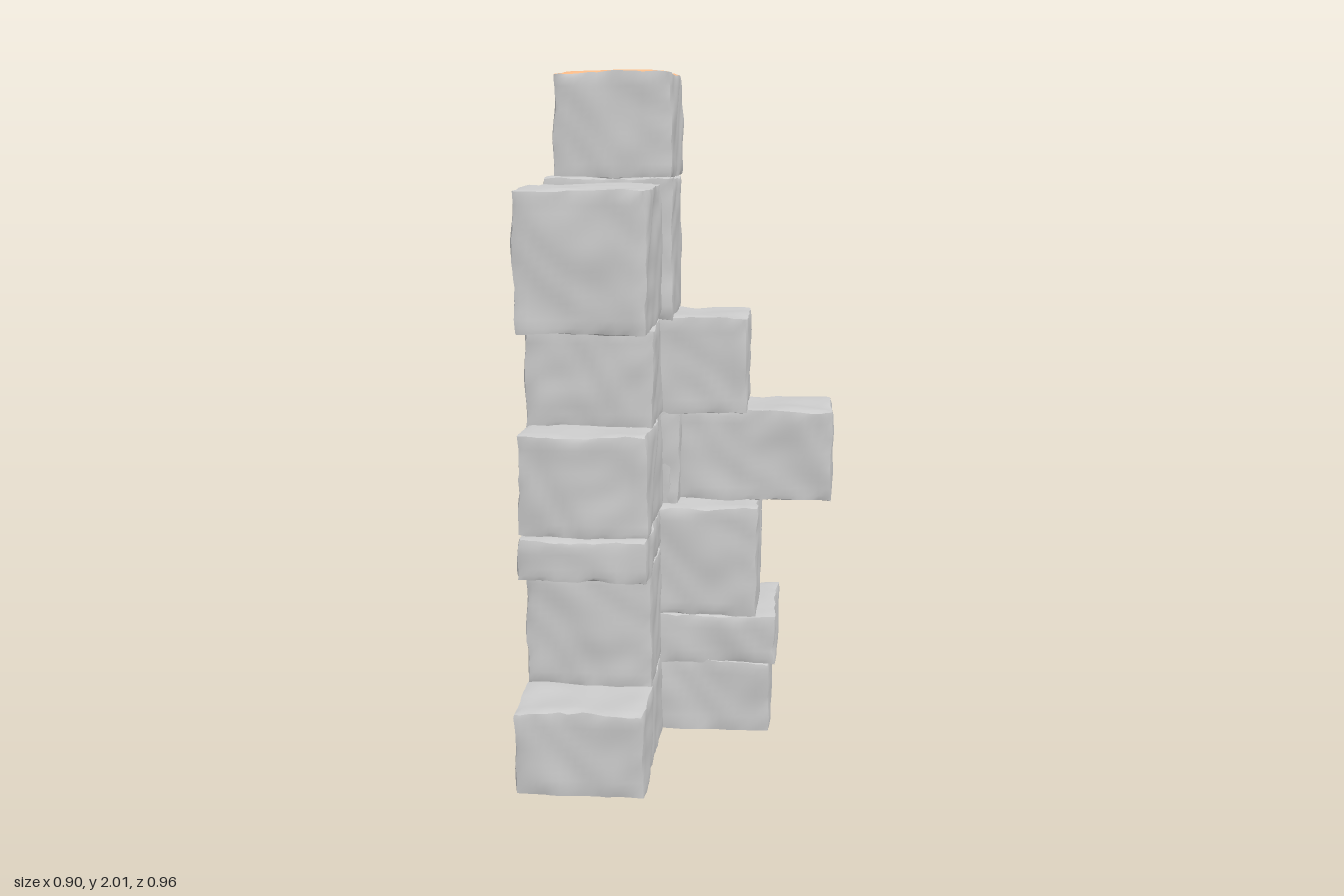
import * as THREE from 'three';

const stone = new THREE.MeshStandardMaterial({ color: 0xcccccc });
const topCut = new THREE.MeshStandardMaterial({ color: 0xfabb88 });
const bottomCut = new THREE.MeshStandardMaterial({ color: 0xfca688 });

// Smooth deterministic noise, about -1..1
function noise(x, y, z, s) {
  const a = x + 0.04 * Math.sin(z * 19 + y * 11 + s);
  const b = y + 0.04 * Math.sin(x * 17 - z * 13 + s * 2.3);
  const c = z + 0.04 * Math.sin(y * 15 + x * 21 + s * 1.7);
  return (
    Math.sin(a * 14 + s * 2.1) * Math.cos(b * 12 + c * 16 + s * 1.3) * 0.6 +
    Math.sin(b * 33 + s * 3.7) * Math.sin(a * 29 - c * 31 + s) * 0.4
  );
}

// Rough hewn block: dented faces, wavy and slightly chipped edges.
// cuts maps a box side (2 top, 3 bottom) to its own material.
function block(name, seed, [x0, x1], [y0, y1], [z0, z1], cuts = {}) {
  const size = [x1 - x0, y1 - y0, z1 - z0];
  const segs = size.map((d) => Math.max(4, Math.round(d / 0.022)));
  const geo = new THREE.BoxGeometry(...size, ...segs);
  const pos = geo.attributes.position;
  for (let i = 0; i < pos.count; i++) {
    const p = [pos.getX(i), pos.getY(i), pos.getZ(i)];
    const onFace = p.map((v, k) => Math.abs(v) > size[k] / 2 - 1e-5);
    const onEdge = onFace.filter(Boolean).length > 1;
    const q = p.map((v, k) => {
      if (!onFace[k]) return v;
      const dent = 0.007 * (noise(...p, seed + k * 5 + (v > 0 ? 2 : 0)) - 0.25);
      const chip = onEdge ? 0.002 + 0.006 * Math.abs(noise(p[2] * 2, p[0] * 2, p[1] * 2, seed + k)) : 0;
      return v + Math.sign(v) * (dent - chip);
    });
    // Keep the footing flat on the ground
    if (y0 === 0 && onFace[1] && p[1] < 0) q[1] = p[1];
    pos.setXYZ(i, ...q);
  }
  geo.computeVertexNormals();
  const mesh = new THREE.Mesh(geo, Array.from({ length: 6 }, (_, k) => cuts[k] ?? stone));
  mesh.name = name;
  mesh.position.set((x0 + x1) / 2, (y0 + y1) / 2, (z0 + z1) / 2);
  return mesh;
}

export function createModel() {
  const model = new THREE.Group();
  model.name = 'ruinedWallCorner';
  const footing = { 3: bottomCut };

  // Front wing courses: [bottom, top, back z, front z], each bedded into its neighbours
  const front = new THREE.Group();
  front.name = 'frontWing';
  [
    [0, 0.247, -0.014, 0.48],
    [0.236, 0.594, -0.014, 0.266],
    [0.589, 0.714, -0.014, 0.385],
    [0.706, 1.004, -0.06, 0.35],
    [0.992, 1.284, -0.06, 0.209],
    [1.281, 1.677, -0.06, 0.36],
  ].forEach(([y0, y1, z0, z1], i) => {
    const cuts = i === 0 ? footing : {};
    front.add(block('frontStone' + (i + 1), i * 1.7 + 1, [-0.438, -0.068], [y0, y1], [z0, z1], cuts));
  });

  // Side wing stones, running toward +x; the inner one sits back behind its neighbour
  const side = new THREE.Group();
  side.name = 'sideWing';
  side.add(
    block('sideFooting', 21, [-0.443, 0.264], [0, 0.228], [-0.375, -0.01], footing),
    block('sideSlab', 23, [-0.441, 0.282], [0.214, 0.376], [-0.375, -0.01]),
    block('sideStoneInner', 26, [-0.437, -0.142], [0.368, 0.713], [-0.322, -0.01]),
    block('sideStoneOuter', 28, [-0.154, 0.224], [0.368, 0.713], [-0.37, -0.01]),
    block('sideLongStone', 31, [-0.052, 0.446], [0.707, 0.996], [-0.373, -0.112]),
    block('frontFiller', 33, [-0.09, -0.017], [0.706, 0.996], [-0.2, -0.055])
  );

  // Tall corner column with the overhanging cap stone
  const corner = new THREE.Group();
  corner.name = 'cornerColumn';
  corner.add(
    block('columnLower', 41, [-0.424, -0.04], [0.704, 1.002], [-0.339, -0.055]),
    block('columnMiddle', 36, [-0.424, 0.187], [0.988, 1.284], [-0.342, -0.057]),
    block('columnUpper', 43, [-0.422, -0.036], [1.272, 1.695], [-0.337, -0.055]),
    block('capStone', 47, [-0.401, -0.043], [1.685, 2.002], [-0.477, -0.105], { 2: topCut })
  );

  model.add(front, side, corner);
  return model;
}
